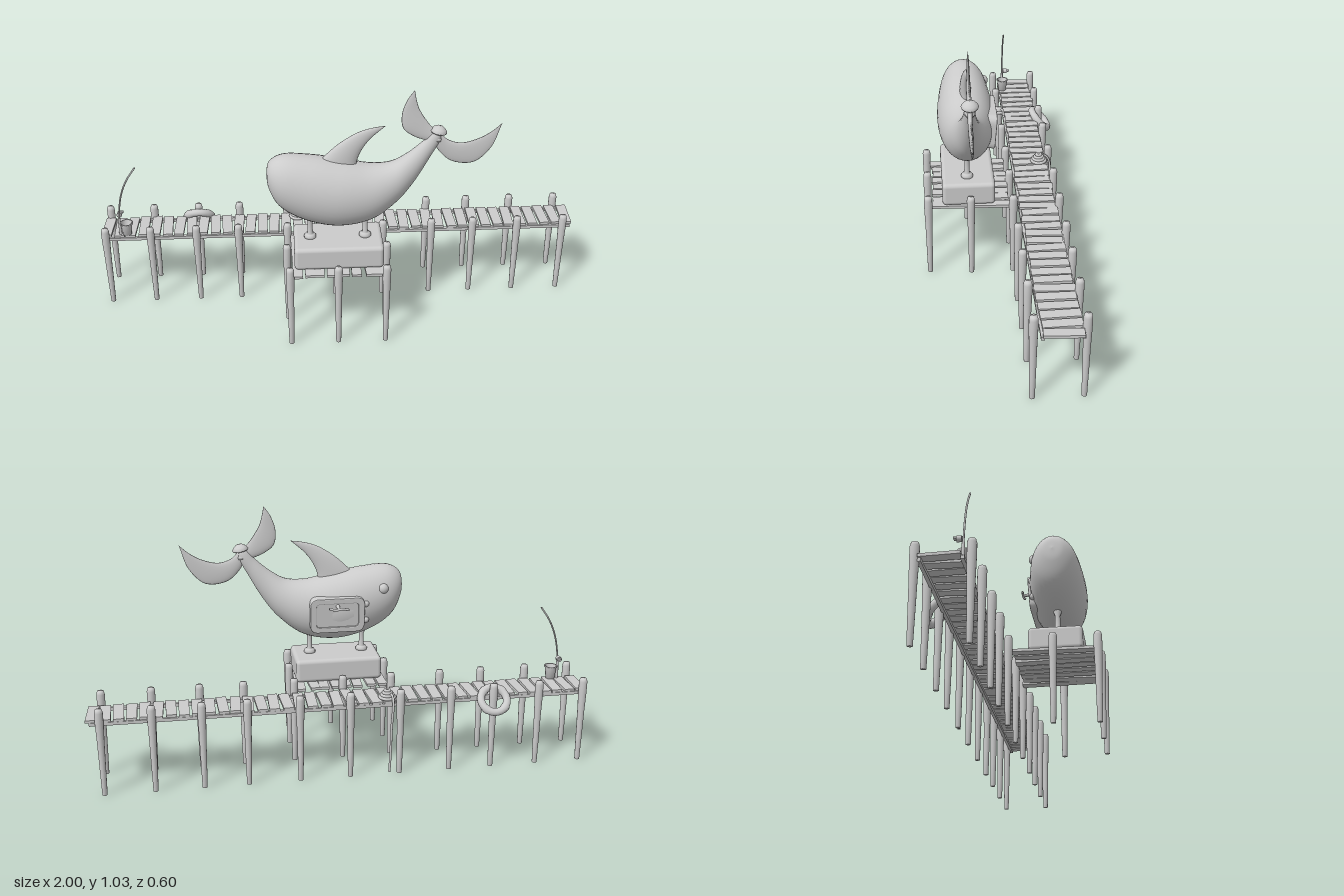
import * as THREE from 'three';
import { RoundedBoxGeometry } from 'three/addons/geometries/RoundedBoxGeometry.js';

const mat = new THREE.MeshStandardMaterial({ color: 0xcccccc, side: THREE.DoubleSide });
const V = (x, y, z) => new THREE.Vector3(x, y, z);

let seed = 7;
const rand = () => ((seed = (seed * 16807) % 2147483647) / 2147483647) - 0.5;

function add(parent, name, geo, x = 0, y = 0, z = 0) {
  const m = new THREE.Mesh(geo, mat);
  m.name = name;
  m.position.set(x, y, z);
  parent.add(m);
  return m;
}

// Smooth skin over oval sections [topX, topY, bottomX, bottomY, halfWidth], lying in the xy plane
function loft(sections, rows = 40, sides = 32) {
  const top = new THREE.CatmullRomCurve3(sections.map(s => V(s[0], s[1], s[4])));
  const bottom = new THREE.CatmullRomCurve3(sections.map(s => V(s[2], s[3], s[4])));
  const pos = [], idx = [];
  for (let i = 0; i <= rows; i++) {
    const t = top.getPoint(i / rows), b = bottom.getPoint(i / rows);
    const w = Math.max(0, (t.z + b.z) / 2);
    for (let j = 0; j < sides; j++) {
      const a = (j / sides) * Math.PI * 2, c = Math.cos(a) / 2;
      pos.push((t.x + b.x) / 2 + c * (t.x - b.x), (t.y + b.y) / 2 + c * (t.y - b.y), Math.sin(a) * w);
      if (i === rows) continue;
      const k = (j + 1) % sides, p = i * sides, q = p + sides;
      idx.push(p + j, p + k, q + j, p + k, q + k, q + j);
    }
  }
  const g = new THREE.BufferGeometry();
  g.setAttribute('position', new THREE.Float32BufferAttribute(pos, 3));
  g.setIndex(idx);
  g.computeVertexNormals();
  return g;
}

function lathe(points, sides = 16) {
  return new THREE.LatheGeometry(points.map(p => new THREE.Vector2(p[0], p[1])), sides);
}

function tube(points, radius, n = 24) {
  return new THREE.TubeGeometry(new THREE.CatmullRomCurve3(points), n, radius, 8);
}

function roundRect(w, h, r, Type = THREE.Shape) {
  const s = new Type(), x = w / 2, y = h / 2;
  s.moveTo(-x + r, -y);
  s.lineTo(x - r, -y).quadraticCurveTo(x, -y, x, -y + r);
  s.lineTo(x, y - r).quadraticCurveTo(x, y, x - r, y);
  s.lineTo(-x + r, y).quadraticCurveTo(-x, y, -x, y - r);
  s.lineTo(-x, -y + r).quadraticCurveTo(-x, -y, -x + r, -y);
  return s;
}

// Row of slightly crooked planks running along x
function planks(parent, name, x0, x1, count, z, length) {
  const step = (x1 - x0) / count;
  for (let i = 0; i < count; i++) {
    const m = add(parent, name, new THREE.BoxGeometry(step * 0.82, 0.011, length + rand() * 0.012),
      x0 + step * (i + 0.5), 0.303 + rand() * 0.003, z + rand() * 0.006);
    m.rotation.set(0, rand() * 0.12, rand() * 0.05);
  }
}

function buildPier() {
  const pier = new THREE.Group();
  pier.name = 'pier';
  planks(pier, 'walkwayPlank', -1, 1, 40, -0.16, 0.145);
  planks(pier, 'platformPlank', -0.21, 0.168, 8, 0.106, 0.312);
  for (const z of [-0.228, -0.088])
    add(pier, 'walkwayBeam', new THREE.BoxGeometry(1.97, 0.013, 0.013), 0, 0.292, z);

  // Tapered posts with rounded heads
  const postGeo = lathe([[0, 0], [0.01, 0], [0.012, 0.1], [0.014, 0.22], [0.0165, 0.3], [0.0165, 0.345],
    [0.013, 0.358], [0, 0.361]]);
  const post = (x, z) => { add(pier, 'post', postGeo, x, 0, z).rotation.y = rand() * 6; };
  for (const x of [-0.975, -0.79, -0.6, -0.425, -0.22, -0.02, 0.18, 0.385, 0.56, 0.75, 0.945]) {
    post(x, -0.245);
    post(x, -0.06);
  }
  for (const x of [-0.215, -0.025, 0.165]) post(x, 0.28);
  for (const x of [-0.225, 0.18]) post(x, 0.11);
  return pier;
}

function buildWhale() {
  const whale = new THREE.Group();
  whale.name = 'whale';
  whale.position.z = 0.118;
  add(whale, 'body', loft([
    [-0.296, 0.69, -0.296, 0.69, 0], [-0.285, 0.742, -0.288, 0.635, 0.045],
    [-0.235, 0.771, -0.25, 0.56, 0.083], [-0.125, 0.765, -0.16, 0.5, 0.106],
    [0, 0.742, -0.02, 0.466, 0.113], [0.11, 0.722, 0.115, 0.49, 0.095],
    [0.19, 0.73, 0.215, 0.565, 0.067], [0.25, 0.766, 0.275, 0.64, 0.043],
    [0.31, 0.818, 0.335, 0.745, 0.026], [0.35, 0.862, 0.378, 0.835, 0.015], [0.367, 0.855, 0.367, 0.855, 0],
  ], 70));
  add(whale, 'dorsalFin', loft([
    [-0.1, 0.735, 0.05, 0.7, 0.024], [-0.07, 0.765, 0.058, 0.75, 0.022], [-0.015, 0.815, 0.078, 0.795, 0.017],
    [0.06, 0.862, 0.108, 0.835, 0.01], [0.12, 0.88, 0.14, 0.865, 0.005], [0.165, 0.886, 0.165, 0.886, 0],
  ], 30, 20));

  // Two tail flukes
  add(whale, 'upperFluke', loft([
    [0.335, 0.815, 0.365, 0.855, 0.01], [0.275, 0.838, 0.338, 0.88, 0.009], [0.232, 0.872, 0.312, 0.915, 0.008],
    [0.224, 0.93, 0.289, 0.955, 0.006], [0.243, 0.99, 0.277, 0.995, 0.004], [0.27, 1.031, 0.27, 1.031, 0],
  ], 30, 20));
  add(whale, 'lowerFluke', loft([
    [0.37, 0.86, 0.345, 0.82, 0.01], [0.4, 0.825, 0.375, 0.77, 0.009], [0.455, 0.807, 0.425, 0.728, 0.008],
    [0.52, 0.822, 0.51, 0.722, 0.006], [0.57, 0.85, 0.575, 0.785, 0.004], [0.61, 0.885, 0.61, 0.885, 0],
  ], 30, 20));
  const knob = add(whale, 'tailKnob', lathe([[0, -0.04], [0.019, -0.035], [0.019, -0.025], [0.012, -0.02],
    [0.012, -0.004], [0.03, -0.003], [0.033, 0.003], [0.026, 0.013], [0.014, 0.022], [0, 0.025]]), 0.367, 0.856, 0);
  knob.rotation.z = -0.2;

  // Hatch on the back flank: frame, panel, handle and hinges
  const hatch = new THREE.Group();
  hatch.name = 'hatch';
  hatch.position.set(-0.01, 0.598, -0.08);
  hatch.rotation.set(-0.08, Math.PI, 0);
  whale.add(hatch);
  const frame = roundRect(0.215, 0.14, 0.03);
  frame.holes.push(roundRect(0.18, 0.108, 0.02, THREE.Path));
  const bevel = { bevelSize: 0.004, bevelThickness: 0.004, bevelSegments: 2 };
  add(hatch, 'hatchFrame', new THREE.ExtrudeGeometry(frame, { depth: 0.032, ...bevel }));
  add(hatch, 'hatchPanel', new THREE.ExtrudeGeometry(roundRect(0.2, 0.125, 0.02), { depth: 0.031, bevelEnabled: false }));
  add(hatch, 'hatchHandle', tube([V(-0.04, 0.045, 0.066), V(-0.015, 0.038, 0.068), V(0.015, 0.042, 0.068),
    V(0.04, 0.036, 0.066)], 0.005));
  add(hatch, 'handleStem', new THREE.CylinderGeometry(0.005, 0.008, 0.04, 10), 0, 0.04, 0.048).rotation.x = Math.PI / 2;
  for (const y of [-0.03, 0.04])
    add(hatch, 'hinge', new THREE.SphereGeometry(0.014, 14, 10), 0.118, y, 0.018);
  add(whale, 'eye', new THREE.SphereGeometry(0.022, 18, 12), -0.203, 0.69, -0.08);
  return whale;
}

function buildPedestal() {
  const stand = new THREE.Group();
  stand.name = 'pedestal';
  add(stand, 'plinth', new RoundedBoxGeometry(0.355, 0.096, 0.212, 3, 0.016), -0.018, 0.356, 0.116);
  const strut = lathe([[0, 0], [0.024, 0], [0.024, 0.012], [0.018, 0.02], [0.011, 0.022], [0.01, 0.075],
    [0.016, 0.09], [0.016, 0.13]]);
  for (const x of [-0.13, 0.09]) add(stand, 'strut', strut, x, 0.4, 0.12);
  return stand;
}

function buildProps() {
  const props = new THREE.Group();
  props.name = 'pierProps';
  // Life ring with four bands, leaning over the edge
  const ring = new THREE.Group();
  ring.name = 'lifeRing';
  ring.position.set(-0.6, 0.294, -0.252);
  ring.rotation.x = 0.75;
  props.add(ring);
  add(ring, 'ring', new THREE.TorusGeometry(0.053, 0.0155, 14, 36));
  for (let i = 0; i < 4; i++)
    add(ring, 'band', new THREE.TorusGeometry(0.053, 0.0172, 12, 5, 0.35)).rotation.z = i * Math.PI / 2 + 0.6;

  // Rope coil with its end hanging to the water
  for (let i = 0; i < 4; i++)
    add(props, 'ropeCoil', new THREE.TorusGeometry(0.03 - i * 0.007, 0.0065, 8, 24), -0.175, 0.315 + i * 0.009, -0.2)
      .rotation.x = Math.PI / 2 + rand() * 0.2;
  add(props, 'ropeEnd', tube([V(-0.18, 0.335, -0.2), V(-0.19, 0.328, -0.23), V(-0.19, 0.3, -0.248),
    V(-0.184, 0.2, -0.25), V(-0.182, 0.1, -0.25), V(-0.178, 0.008, -0.25)], 0.005));

  // Bucket
  add(props, 'bucket', lathe([[0, 0], [0.018, 0], [0.024, 0.048], [0.027, 0.05], [0.027, 0.055], [0.022, 0.054],
    [0.017, 0.008], [0, 0.008]], 20), -0.89, 0.309, -0.1);

  // Fishing rod with grip and reel
  add(props, 'rod', tube([V(-0.918, 0.31, -0.1), V(-0.916, 0.4, -0.1), V(-0.9, 0.49, -0.1), V(-0.872, 0.56, -0.1),
    V(-0.832, 0.62, -0.1)], 0.0035));
  add(props, 'grip', new THREE.CylinderGeometry(0.0055, 0.0065, 0.075, 10), -0.918, 0.346, -0.1);
  add(props, 'reel', new THREE.CylinderGeometry(0.011, 0.011, 0.018, 14), -0.917, 0.396, -0.114).rotation.x = Math.PI / 2;
  add(props, 'reelCrank', new THREE.BoxGeometry(0.02, 0.005, 0.012), -0.912, 0.4, -0.128);
  return props;
}

export function createModel() {
  const model = new THREE.Group();
  model.name = 'whaleOnPier';
  model.add(buildPier(), buildPedestal(), buildWhale(), buildProps());
  return model;
}
